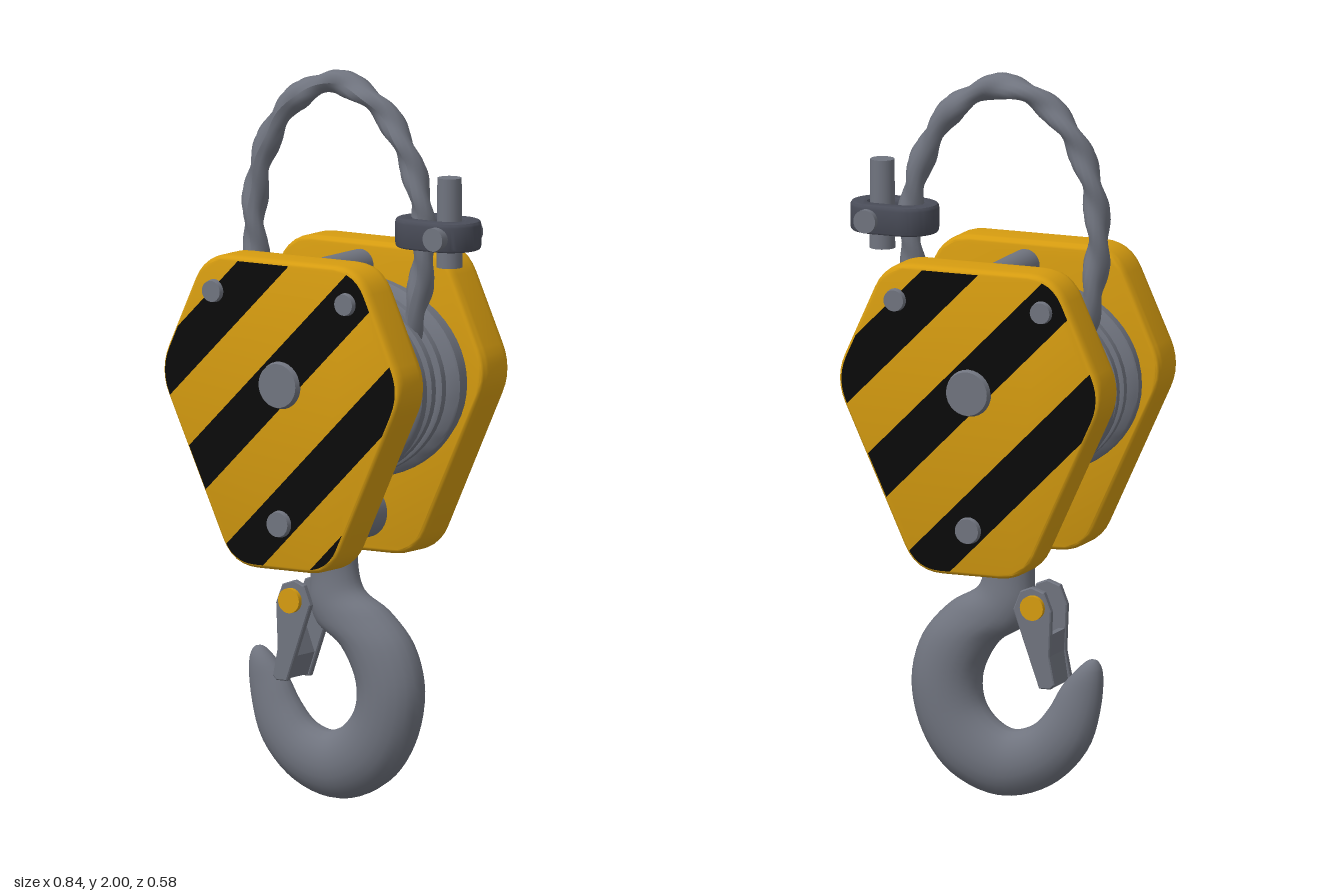
import * as THREE from 'three';
import { toCreasedNormals } from 'three/addons/utils/BufferGeometryUtils.js';

const CX = -0.035; // centre line of the block

const paint = (name, color) => Object.assign(new THREE.MeshStandardMaterial({ color }), { name });

// Outline of a cheek plate: a six-cornered shape with rounded corners
function plateOutline(inset) {
  const right = [[0.165, 0.66], [0.4, 1.18], [0.255, 1.51]];
  const corners = [...right, ...right.slice().reverse().map(([x, y]) => [-x, y])].map(([x, y]) =>
    new THREE.Vector2(x - Math.sign(x) * inset, y + (y > 1.3 ? -inset : y < 0.8 ? inset : 0)));
  const pts = [];
  corners.forEach((c, i) => {
    const prev = corners[(i + 5) % 6], next = corners[(i + 1) % 6];
    const a = c.clone().add(prev.clone().sub(c).setLength(0.07));
    const b = c.clone().add(next.clone().sub(c).setLength(0.07));
    pts.push(...new THREE.QuadraticBezierCurve(a, c, b).getPoints(6));
  });
  return pts;
}

// Keep the part of a polygon where s * (y - x - c) >= 0
function clip(poly, c, s) {
  const out = [], d = p => s * (p.y - p.x - c);
  poly.forEach((p, i) => {
    const q = poly[(i + 1) % poly.length], dp = d(p), dq = d(q);
    if (dp >= 0) out.push(p);
    if (dp * dq < 0) out.push(p.clone().lerp(q, dp / (dp - dq)));
  });
  return out;
}

// Hook body: [outer x, outer y, inner x, inner y, half thickness]
const HOOK = [
  [0.03, 0.76, -0.11, 0.76, 0.055], [0.03, 0.64, -0.11, 0.61, 0.055],
  [0.05, 0.58, -0.11, 0.535, 0.062], [0.13, 0.53, -0.085, 0.48, 0.07],
  [0.21, 0.44, -0.01, 0.43, 0.078], [0.243, 0.31, 0.042, 0.335, 0.08],
  [0.21, 0.165, 0.037, 0.26, 0.078], [0.127, 0.058, 0, 0.212, 0.075],
  [-0.016, 0.004, -0.047, 0.19, 0.07], [-0.158, 0.042, -0.11, 0.207, 0.065],
  [-0.264, 0.143, -0.158, 0.26, 0.055], [-0.306, 0.27, -0.195, 0.323, 0.042],
  [-0.311, 0.37, -0.237, 0.37, 0.03], [-0.298, 0.397, -0.268, 0.397, 0.015],
  [-0.283, 0.402, -0.281, 0.402, 0.001],
];

function hookGeometry(rings = 70, sides = 20) {
  const outer = new THREE.CatmullRomCurve3(HOOK.map(h => new THREE.Vector3(h[0], h[1], h[4])));
  const inner = new THREE.CatmullRomCurve3(HOOK.map(h => new THREE.Vector3(h[2], h[3], h[4])));
  const pos = [], idx = [];
  for (let i = 0; i <= rings; i++) {
    const o = outer.getPoint(i / rings), n = inner.getPoint(i / rings);
    for (let j = 0; j < sides; j++) {
      const a = j / sides * Math.PI * 2, k = (1 + Math.cos(a)) / 2;
      pos.push(n.x + (o.x - n.x) * k, n.y + (o.y - n.y) * k, Math.sin(a) * o.z);
      if (i < rings) {
        const p = i * sides + j, q = i * sides + (j + 1) % sides;
        idx.push(p, q, p + sides, q, q + sides, p + sides);
      }
    }
  }
  const g = new THREE.BufferGeometry();
  g.setAttribute('position', new THREE.Float32BufferAttribute(pos, 3));
  g.setIndex(idx);
  g.computeVertexNormals();
  return g;
}

// Rope: a tube whose two-lobed section twists along its length
function ropeGeometry() {
  const path = new THREE.CatmullRomCurve3([
    [-0.25, 1.28], [-0.285, 1.42], [-0.3, 1.6], [-0.262, 1.77], [-0.17, 1.905], [-0.03, 1.965],
    [0.11, 1.905], [0.205, 1.77], [0.25, 1.6], [0.238, 1.42], [0.2, 1.28],
  ].map(([x, y]) => new THREE.Vector3(x, y, 0)));
  const rings = 160, sides = 14;
  const g = new THREE.TubeGeometry(path, rings, 0.031, sides, false);
  const p = g.attributes.position, v = new THREE.Vector3();
  for (let i = 0; i <= rings; i++) {
    const c = path.getPointAt(i / rings);
    for (let j = 0; j <= sides; j++) {
      const k = i * (sides + 1) + j;
      const f = 1 + 0.2 * Math.cos(2 * (j / sides) * Math.PI * 2 - i * 0.42);
      v.fromBufferAttribute(p, k).sub(c).multiplyScalar(f).add(c);
      p.setXYZ(k, v.x, v.y, v.z);
    }
  }
  g.computeVertexNormals();
  return g;
}

export function createModel() {
  const steel = paint('steel', 0x70747f);
  const dark = paint('dark steel', 0x4a4d59);
  const yellow = paint('safety yellow', 0xd69c10);
  const black = paint('stripe black', 0x0a0a0a);

  const model = new THREE.Group();
  const add = (parent, name, geometry, material, x = 0, y = 0, z = 0) => {
    const m = new THREE.Mesh(geometry, material);
    m.name = name;
    m.position.set(x, y, z);
    parent.add(m);
  };
  const rod = (r, length, r2 = r) => new THREE.CylinderGeometry(r2, r, length, 28).rotateX(Math.PI / 2);

  // Cheek plates with stripes, hub cap and bolts, front and back
  const cap = plateOutline(0.012);
  const plateGeo = toCreasedNormals(new THREE.ExtrudeGeometry(new THREE.Shape(cap), {
    depth: 0.075, bevelThickness: 0.028, bevelSize: 0.012, bevelSegments: 4,
  }), 0.6);
  const bands = [[1.67, 1.505], [1.31, 1.14], [0.93, 0.762], [0.61, 0.42]];
  for (const side of [1, -1]) {
    const cheek = new THREE.Group();
    cheek.name = side > 0 ? 'frontCheek' : 'backCheek';
    cheek.position.x = CX;
    cheek.rotation.y = side > 0 ? 0 : Math.PI;
    model.add(cheek);
    add(cheek, 'cheekPlate', plateGeo, yellow, 0, 0, 0.168);
    for (const [hi, lo] of bands.slice(0, side > 0 ? 4 : 3)) {
      const stripe = clip(clip(cap, hi + CX, -1), lo + CX, 1);
      add(cheek, 'stripe', new THREE.ShapeGeometry(new THREE.Shape(stripe)), black, 0, 0, 0.2735);
    }
    add(cheek, 'hubCap', rod(0.07, 0.03, 0.06), steel, 0, 1.17, 0.273);
    for (const [x, y, r] of [[-0.215, 1.41, 0.034], [0.215, 1.41, 0.034], [0, 0.79, 0.04]])
      add(cheek, 'bolt', rod(r, 0.03, r * 0.85), steel, x, y, 0.273);
  }

  // Pair of grooved sheaves
  const profile = [[0.02, 0.01], [0.325, 0.01], [0.335, 0.015], [0.335, 0.035], [0.305, 0.052], [0.305, 0.06],
    [0.345, 0.074], [0.35, 0.08], [0.35, 0.103], [0.345, 0.11], [0.333, 0.115], [0.333, 0.15], [0.02, 0.15]];
  const lathe = toCreasedNormals(new THREE.LatheGeometry(profile.map(p => new THREE.Vector2(...p)), 56), 0.6);
  for (const s of [1, -1])
    add(model, 'sheave', lathe.clone().rotateX(s * Math.PI / 2).scale(1, 0.8, 1), steel, CX, 1.15, 0);

  // Axle and cross bars
  add(model, 'axle', rod(0.1, 0.3), steel, CX, 1.17, 0);
  add(model, 'topBar', rod(0.042, 0.24), steel, CX, 1.45, 0);
  add(model, 'bottomBar', rod(0.073, 0.32), steel, CX, 0.773, 0);

  // Hook
  add(model, 'hook', hookGeometry(), steel);

  // Safety latch: two cheeks joined by a web, on a yellow pin
  const latchShape = new THREE.Shape([[-0.165, 0.585], [-0.185, 0.535], [-0.18, 0.41], [-0.195, 0.335], [-0.185, 0.325],
    [-0.155, 0.325], [-0.105, 0.465], [-0.08, 0.535], [-0.1, 0.585], [-0.13, 0.597]].map(p => new THREE.Vector2(...p)));
  const latchGeo = new THREE.ExtrudeGeometry(latchShape, { depth: 0.014, bevelSize: 0.003, bevelThickness: 0.003, bevelSegments: 1 });
  for (const s of [1, -1]) {
    add(model, 'latchCheek', latchGeo, steel, 0, 0, s * 0.055 - 0.007);
    add(model, 'latchPin', rod(0.034, 0.024), yellow, -0.137, 0.545, s * 0.067);
  }
  const webShape = new THREE.Shape([[-0.183, 0.47], [-0.18, 0.41], [-0.193, 0.327], [-0.157, 0.327], [-0.135, 0.39], [-0.165, 0.47]]
    .map(p => new THREE.Vector2(...p)));
  add(model, 'latchWeb', new THREE.ExtrudeGeometry(webShape, { depth: 0.11, bevelEnabled: false }), steel, 0, 0, -0.055);

  // Rope loop
  add(model, 'rope', ropeGeometry(), steel);

  // Rope clamp: a rounded link, the rope's loose end and a cross bolt
  const stadium = (path, x0, x1, r) => {
    path.absarc(x1 - r, 0, r, -Math.PI / 2, Math.PI / 2, false);
    path.absarc(x0 + r, 0, r, Math.PI / 2, Math.PI * 1.5, false);
    path.closePath();
    return path;
  };
  const link = stadium(new THREE.Shape(), 0.182, 0.413, 0.074);
  link.holes.push(stadium(new THREE.Path(), 0.217, 0.38, 0.042));
  const linkGeo = toCreasedNormals(new THREE.ExtrudeGeometry(link, {
    depth: 0.056, bevelSize: 0.008, bevelThickness: 0.012, bevelSegments: 3, curveSegments: 14,
  }).rotateX(-Math.PI / 2), 0.6);
  add(model, 'clampLink', linkGeo, dark, 0, 1.552, 0);
  add(model, 'ropeEnd', new THREE.CylinderGeometry(0.033, 0.035, 0.245, 20), steel, 0.334, 1.6125, 0);
  add(model, 'clampBolt', rod(0.032, 0.2), steel, 0.345, 1.578, 0);

  return model;
}
